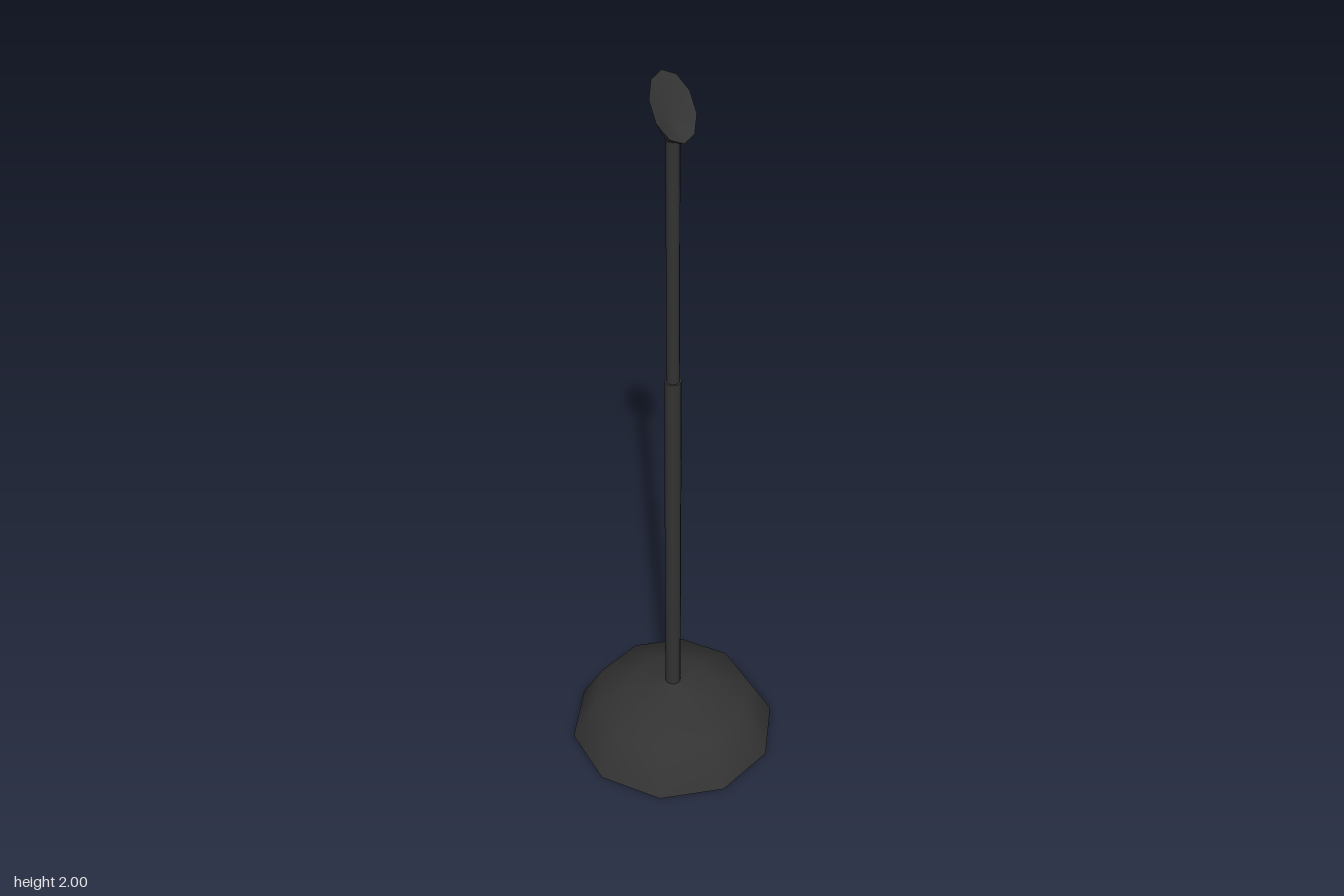
import * as THREE from 'three';

const SIDES = 10;

// Closed ten-sided ring, tilted so that its back is higher than its front
function ring(rx, rz, y, rise = 0, z0 = 0) {
  return Array.from({ length: SIDES + 1 }, (_, i) => {
    const a = (i / SIDES) * Math.PI * 2;
    return [rx * Math.sin(a), y - rise * Math.cos(a), z0 + rz * Math.cos(a)];
  });
}

// Smooth skin between successive rings
function loft(rings) {
  const index = [];
  const n = SIDES + 1;
  for (let r = 0; r < rings.length - 1; r++) {
    for (let i = 0; i < SIDES; i++) {
      const a = r * n + i, b = a + 1, c = a + n, d = c + 1;
      index.push(a, b, d, a, d, c);
    }
  }
  const g = new THREE.BufferGeometry();
  g.setAttribute('position', new THREE.Float32BufferAttribute(rings.flat(2), 3));
  g.setIndex(index);
  g.computeVertexNormals();
  return g;
}

export function createModel() {
  const group = new THREE.Group();
  const black = new THREE.MeshStandardMaterial({ color: 0x333333 });
  black.name = 'charcoal';
  const add = (name, geometry) => {
    const mesh = new THREE.Mesh(geometry, black);
    mesh.name = name;
    group.add(mesh);
    return mesh;
  };

  // Domed foot and its flat underside
  const profile = [[0.292, 0], [0.227, 0.115], [0.115, 0.153], [0.02, 0.176]];
  add('base', new THREE.LatheGeometry(profile.map(p => new THREE.Vector2(...p)), SIDES));
  const underside = new THREE.CircleGeometry(0.292, SIDES, Math.PI / 2);
  underside.rotateX(Math.PI / 2);
  underside.rotateY(Math.PI); // line its corners up with the foot
  add('baseUnderside', underside);

  // Telescopic pole: thicker lower tube, thinner upper tube
  for (const [name, radius, from, to] of [
    ['lowerPole', 0.022, 0.16, 1.205],
    ['upperPole', 0.017, 1.2, 1.86],
  ]) {
    add(name, new THREE.CylinderGeometry(radius, radius, to - from, SIDES))
      .position.y = (from + to) / 2;
  }

  // Slanted cup on top: outer shell, then its hollow
  const rim = ring(0.054, 0.052, 1.933, 0.067);
  add('holderShell', loft([ring(0.017, 0.017, 1.855), rim]));
  add('holderHollow', loft([
    rim,
    ring(0.022, 0.017, 1.893, 0.017, 0.008),
    ring(0, 0, 1.888, 0, 0.008),
  ]));
  return group;
}
